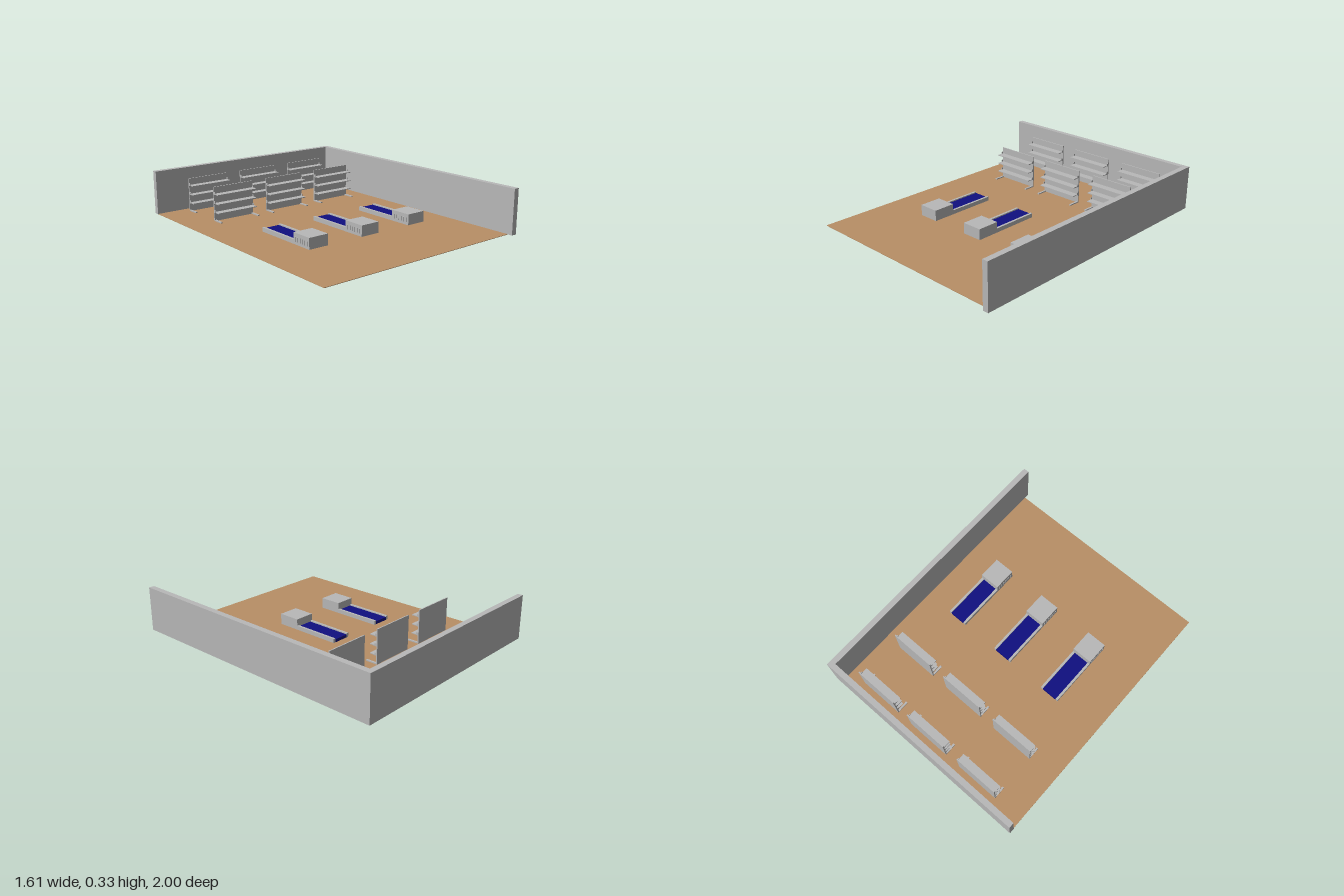
import * as THREE from 'three';

const grey = new THREE.MeshStandardMaterial({ name: 'light grey', color: 0xb8b8b8 });
const brown = new THREE.MeshStandardMaterial({ name: 'floor brown', color: 0xb88f66 });
const blue = new THREE.MeshStandardMaterial({ name: 'belt blue', color: 0x0f0f80 });

const FLOOR = 0.014;

// Box given by its lower and upper limits on each axis
function block(parent, name, material, [x0, x1], [y0, y1], [z0, z1]) {
  const mesh = new THREE.Mesh(new THREE.BoxGeometry(x1 - x0, y1 - y0, z1 - z0), material);
  mesh.position.set((x0 + x1) / 2, (y0 + y1) / 2, (z0 + z1) / 2);
  mesh.name = name;
  parent.add(mesh);
}

// Shelf rack: back panel, three boards with end brackets, and two feet
function shelfRack(x, z) {
  const rack = new THREE.Group();
  rack.name = 'shelfRack';
  const w = 0.162;
  block(rack, 'backPanel', grey, [-w, w], [FLOOR, 0.26], [0, 0.008]);
  for (const y of [0.08, 0.145, 0.212]) {
    block(rack, 'shelfBoard', grey, [-w + 0.002, w - 0.002], [y - 0.006, y], [0.008, 0.062]);
    for (const s of [-1, 1]) {
      const e = s * (w - 0.002);
      block(rack, 'shelfBracket', grey, [e - 0.002, e + 0.002], [y - 0.006, y + 0.014], [0.008, 0.022]);
    }
  }
  for (const s of [-1, 1]) {
    const e = s * (w - 0.007);
    block(rack, 'foot', grey, [e - 0.007, e + 0.007], [FLOOR, FLOOR + 0.008], [0.008, 0.09]);
  }
  rack.position.set(x, 0, z);
  return rack;
}

// Checkout: cash desk, conveyor belt between two rails
function checkout(x) {
  const desk = new THREE.Group();
  desk.name = 'checkout';
  const w = 0.075, belt = 0.058;
  block(desk, 'cashDesk', grey, [-w, w], [0, 0.092], [0.237, 0.4]);
  block(desk, 'conveyorBelt', blue, [-belt, belt], [0, 0.036], [-0.112, 0.237]);
  block(desk, 'leftRail', grey, [belt, w], [0, 0.044], [-0.112, 0.237]);
  block(desk, 'rightRail', grey, [-w, -belt], [0, 0.044], [-0.112, 0.237]);
  // Raised ribs on the side of the desk
  for (let i = 0; i < 6; i++) {
    const z = 0.254 + i * 0.024;
    block(desk, 'sideRib', grey, [-w - 0.004, -w], [0.034, 0.066], [z, z + 0.008]);
  }
  desk.position.x = x;
  return desk;
}

export function createModel() {
  const model = new THREE.Group();
  model.name = 'shop';

  block(model, 'floor', brown, [-0.803, 0.765], [FLOOR - 0.003, FLOOR], [-0.962, 0.965]);
  block(model, 'backWall', grey, [-0.806, 0.765], [FLOOR - 0.002, 0.33], [-1, -0.961]);
  block(model, 'sideWall', grey, [0.765, 0.806], [FLOOR - 0.002, 0.33], [-1, 1]);

  for (const z of [-0.895, -0.545]) {
    for (const x of [-0.42, 0.024, 0.473]) model.add(shelfRack(x, z));
  }
  for (const x of [-0.391, 0.045, 0.475]) model.add(checkout(x));
  return model;
}
